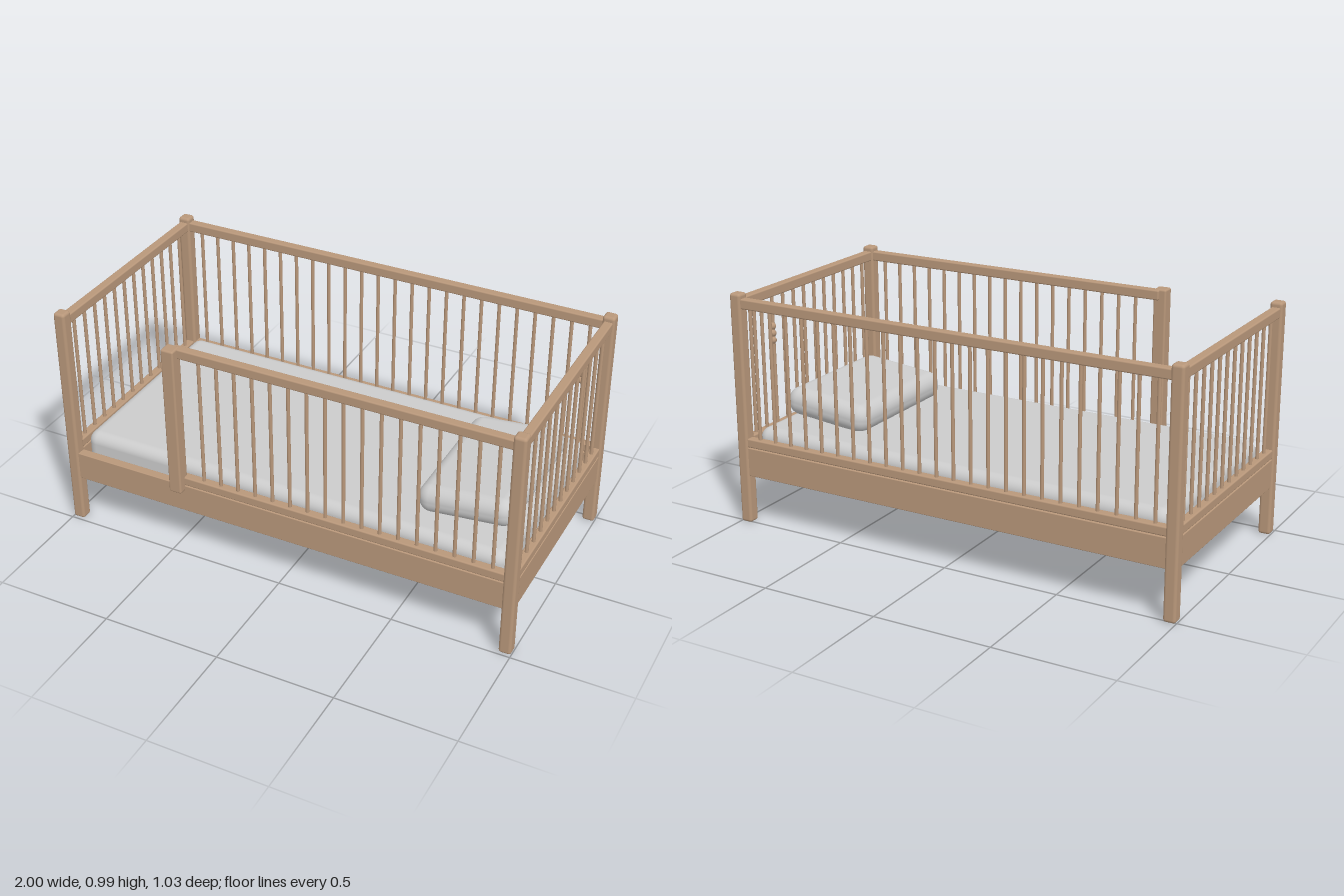
import * as THREE from 'three';
import { RoundedBoxGeometry } from 'three/addons/geometries/RoundedBoxGeometry.js';

export function createModel() {
  const bed = new THREE.Group();
  bed.name = 'toddlerBed';
  const wood = new THREE.MeshStandardMaterial({ color: 0xb8977a });
  const fabric = new THREE.MeshStandardMaterial({ color: 0xcccccc });

  const add = (name, geometry, material, x, y, z) => {
    const mesh = new THREE.Mesh(geometry, material);
    mesh.name = name;
    mesh.position.set(x, y, z);
    bed.add(mesh);
    return mesh;
  };
  // rounded block given by its limits on each axis
  const block = (name, [x0, x1], [y0, y1], [z0, z1], r, material = wood, segments = 3) =>
    add(name, new RoundedBoxGeometry(x1 - x0, y1 - y0, z1 - z0, segments, r), material,
      (x0 + x1) / 2, (y0 + y1) / 2, (z0 + z1) / 2);

  const frontZ = 0.465, backZ = -0.488, sideX = 0.973;
  const railT = 0.019; // half thickness of rails
  const topY = [0.93, 0.972], lowY = [0.336, 0.374], boardY = [0.21, 0.333];
  const around = (c, h) => [c - h, c + h];

  // corner posts
  for (const x of [-sideX, sideX])
    for (const z of [frontZ, backZ])
      block('cornerPost', around(x, 0.026), [0, 0.993], around(z, 0.026), 0.012);

  // short post that ends the front guard
  const gateX = -0.461;
  block('guardPost', around(gateX, 0.028), [0.31, 0.975], [0.458, 0.515], 0.008);

  // side boards
  const longX = [-0.96, 0.96], shortZ = [backZ + 0.01, frontZ - 0.01];
  for (const z of [frontZ, backZ]) block('longBoard', longX, boardY, around(z, railT), 0.003);
  for (const x of [-sideX, sideX]) block('endBoard', around(x, railT), boardY, shortZ, 0.003);

  // top and bottom rails
  for (const y of [topY, lowY]) {
    block('backRail', longX, y, around(backZ, railT), 0.006);
    block('frontRail', [gateX, 0.96], y, around(frontZ, railT), 0.006);
    for (const x of [-sideX, sideX]) block('endRail', around(x, railT), y, shortZ, 0.006);
  }

  // round spindles
  const spindleGeometry = new THREE.CylinderGeometry(0.0075, 0.0075, 0.59, 14);
  const spindle = (x, z) => add('spindle', spindleGeometry, wood, x, 0.652, z);
  for (let i = 0; i < 24; i++) {
    const x = -0.896 + i * 0.0779;
    spindle(x, backZ);
    if (i > 6) spindle(x, frontZ);
  }
  for (let i = 0; i < 12; i++) {
    const z = 0.391 - i * 0.0734;
    spindle(sideX, z);
    spindle(-sideX, z);
  }

  // base panel under the mattress
  add('basePanel', new THREE.BoxGeometry(1.92, 0.02, 0.93), wood, 0, 0.26, (frontZ + backZ) / 2);

  // mattress and slightly tilted pillow
  block('mattress', [-0.935, 0.932], [0.271, 0.412], [-0.462, 0.437], 0.045, fabric, 6);
  const pillow = block('pillow', [0.502, 0.904], [0.412, 0.532], [-0.308, 0.312], 0.055, fabric, 8);
  pillow.rotation.z = 0.1;

  // three small beads hanging inside the head end
  const bead = new THREE.SphereGeometry(0.0155, 20, 14);
  for (const y of [0.762, 0.792, 0.822]) add('bead', bead, wood, 0.923, y, -0.338);

  return bed;
}
